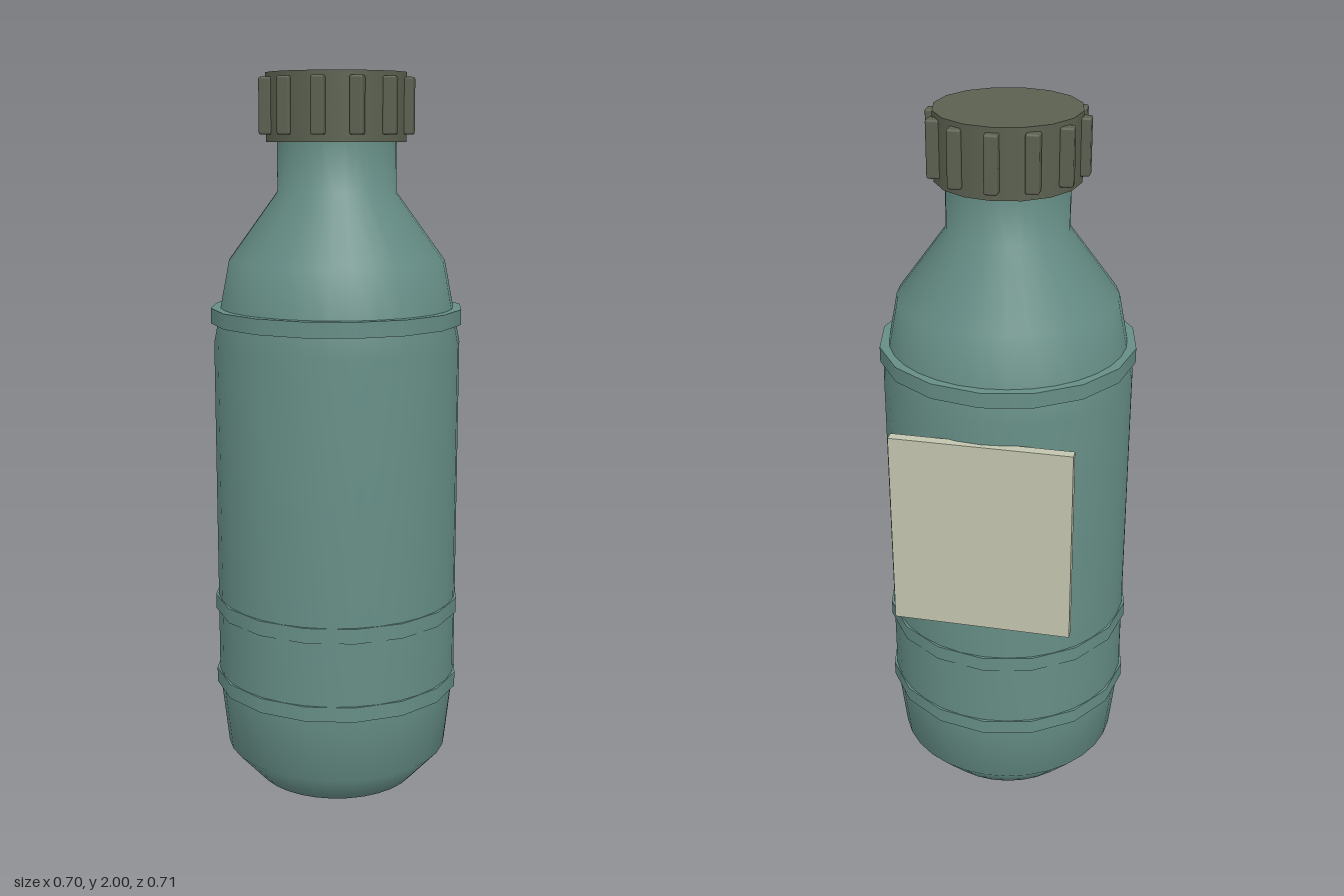
import * as THREE from 'three';
import { RoundedBoxGeometry } from 'three/addons/geometries/RoundedBoxGeometry.js';

export function createModel() {
  const group = new THREE.Group();
  const paint = (name, color) => {
    const m = new THREE.MeshStandardMaterial({ color });
    m.name = name;
    return m;
  };
  const teal = paint('muted teal', 0x668e86);
  const olive = paint('dark olive', 0x5b6050);
  const cream = paint('pale cream', 0xc2c5ae);

  const add = (name, geometry, material, x = 0, y = 0, z = 0) => {
    const mesh = new THREE.Mesh(geometry, material);
    mesh.name = name;
    mesh.position.set(x, y, z);
    group.add(mesh);
  };

  // Smooth bottle body with shoulder and neck
  const profile = [
    [0, 0], [0.232, 0], [0.318, 0.095], [0.342, 0.31], [0.342, 1.275],
    [0.298, 1.5], [0.163, 1.685], [0.163, 1.83],
  ].map(([r, y]) => new THREE.Vector2(r, y));
  add('bottleBody', new THREE.LatheGeometry(profile, 32), teal);

  // Three sixteen-sided bands around the body
  for (const y of [0.302, 0.526, 1.35]) {
    add('band', new THREE.CylinderGeometry(0.35, 0.35, 0.042, 16), teal, 0, y, 0);
  }

  // Screw cap with twelve square grip ribs
  add('cap', new THREE.CylinderGeometry(0.193, 0.193, 0.182, 16), olive, 0, 1.909, 0);
  for (let i = 0; i < 12; i++) {
    const a = (i / 12) * Math.PI * 2;
    add('capRib', new RoundedBoxGeometry(0.036, 0.15, 0.036, 2, 0.006), olive,
      0.195 * Math.sin(a), 1.912, 0.195 * Math.cos(a));
  }

  // Flat label plate on the back
  add('labelPlate', new THREE.BoxGeometry(0.487, 0.56, 0.028), cream, 0, 0.94, -0.343);

  return group;
}
